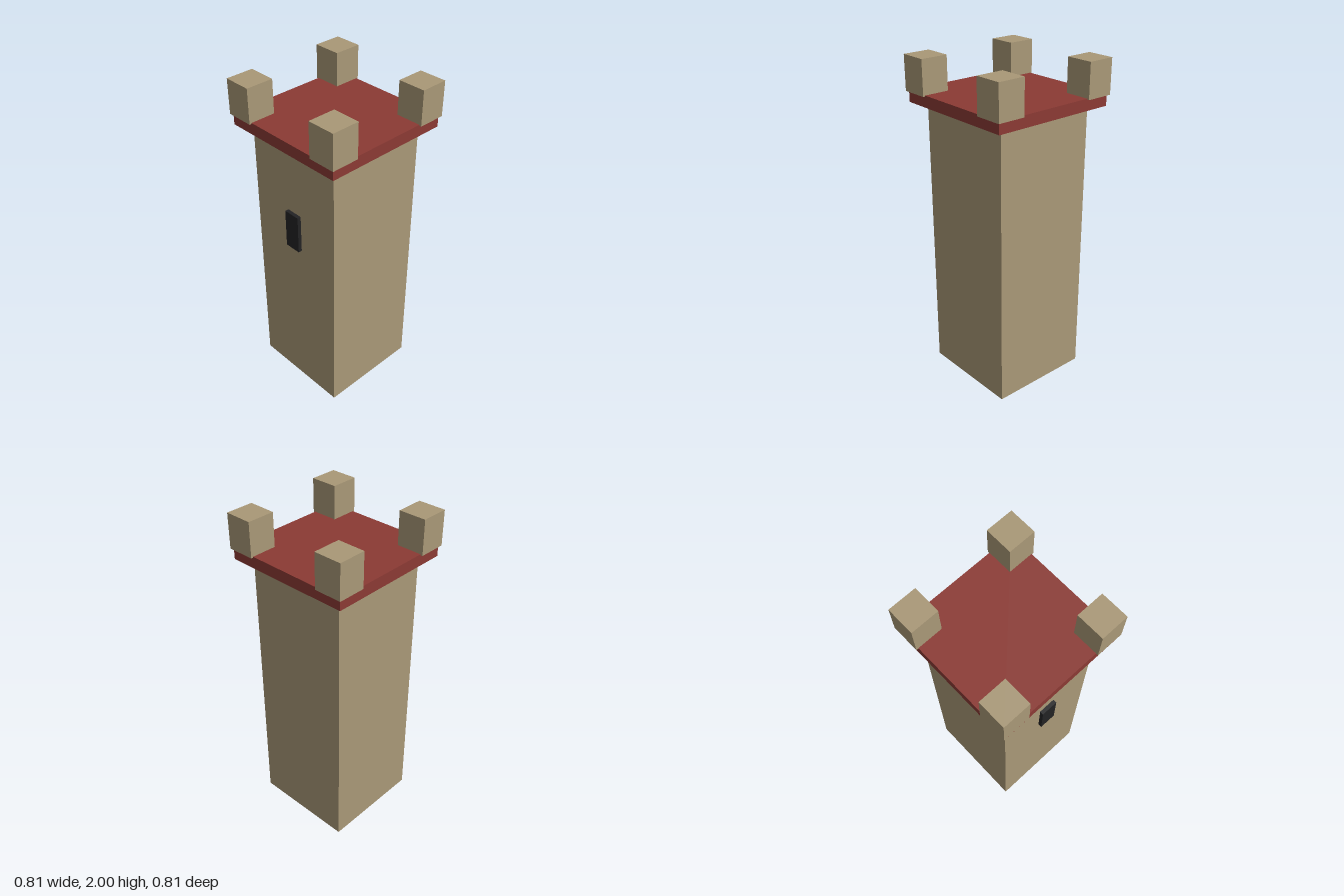
import * as THREE from 'three';

export function createModel() {
  const tower = new THREE.Group();
  tower.name = 'tower';

  const material = (name, color) => {
    const m = new THREE.MeshStandardMaterial({ color });
    m.name = name;
    return m;
  };
  const stone = material('sandstone', 0xa99877);
  const red = material('roofRed', 0x8b3a34);
  const dark = material('windowDark', 0x222224);

  // Box placed by its centre in x and z and by its bottom in y
  const box = (name, mat, [w, h, d], [x, bottom, z]) => {
    const mesh = new THREE.Mesh(new THREE.BoxGeometry(w, h, d), mat);
    mesh.name = name;
    mesh.position.set(x, bottom + h / 2, z);
    tower.add(mesh);
  };

  // Square shaft and overhanging roof slab
  box('shaft', stone, [0.64, 1.726, 0.64], [0, 0, 0]);
  box('roofSlab', red, [0.788, 0.07, 0.788], [0, 1.726, 0]);

  // Corner battlements, slightly proud of the slab
  for (const sx of [-1, 1]) {
    for (const sz of [-1, 1]) {
      const side = `${sz > 0 ? 'front' : 'back'}${sx > 0 ? 'Left' : 'Right'}`;
      box(`${side}Battlement`, stone, [0.17, 0.21, 0.17], [sx * 0.322, 1.79, sz * 0.322]);
    }
  }

  // Narrow window standing out from the front wall
  box('window', dark, [0.104, 0.24, 0.04], [0, 1.052, 0.323]);

  return tower;
}
